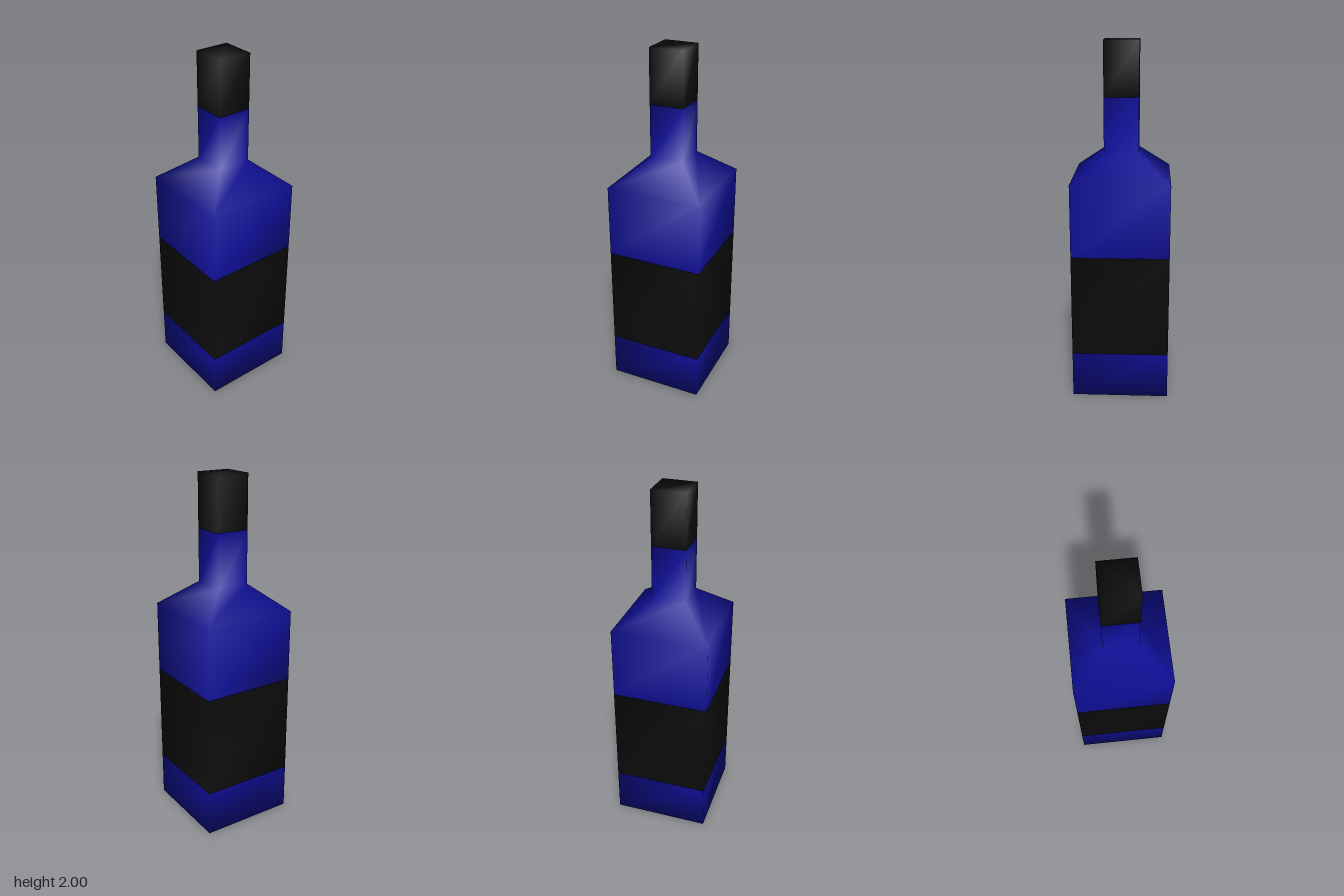
import * as THREE from 'three';

const BODY = 0.272; // half width of the body
const NECK = 0.096; // half width of the neck

// Smooth-shaded square tube through [halfWidth, y] rings, optionally capped
function squareSection(name, rings, material, { bottom = false, top = false } = {}) {
  const corners = [[-1, 1], [1, 1], [1, -1], [-1, -1]];
  const positions = [];
  const index = [];
  for (const [half, y] of rings) {
    for (const [x, z] of corners) positions.push(x * half, y, z * half);
  }
  for (let r = 0; r < rings.length - 1; r++) {
    for (let i = 0; i < 4; i++) {
      const a = r * 4 + i;
      const b = r * 4 + (i + 1) % 4;
      index.push(a, b, b + 4, a, b + 4, a + 4);
    }
  }
  if (bottom) index.push(0, 2, 1, 0, 3, 2);
  if (top) {
    const t = (rings.length - 1) * 4;
    index.push(t, t + 1, t + 2, t, t + 2, t + 3);
  }
  const geometry = new THREE.BufferGeometry();
  geometry.setAttribute('position', new THREE.Float32BufferAttribute(positions, 3));
  geometry.setIndex(index);
  geometry.computeVertexNormals();
  const mesh = new THREE.Mesh(geometry, material);
  mesh.name = name;
  return mesh;
}

export function createModel() {
  const glass = new THREE.MeshStandardMaterial({ color: 0x0f0f99 });
  const black = new THREE.MeshStandardMaterial({ color: 0x0d0d0d });

  const bottle = new THREE.Group();
  bottle.name = 'bottle';
  bottle.add(
    // Glass below the label
    squareSection('base', [[BODY, 0], [BODY, 0.265]], glass, { bottom: true }),
    // Band wrapped flush around the body
    squareSection('label', [[BODY, 0.265], [BODY, 0.845]], black),
    // Upper body, sloping shoulder and neck
    squareSection('shoulderAndNeck', [[BODY, 0.845], [BODY, 1.255], [NECK, 1.4], [NECK, 1.7]], glass),
    // Closed cap on the neck
    squareSection('cap', [[NECK, 1.7], [NECK, 2]], black, { top: true }),
  );
  return bottle;
}
